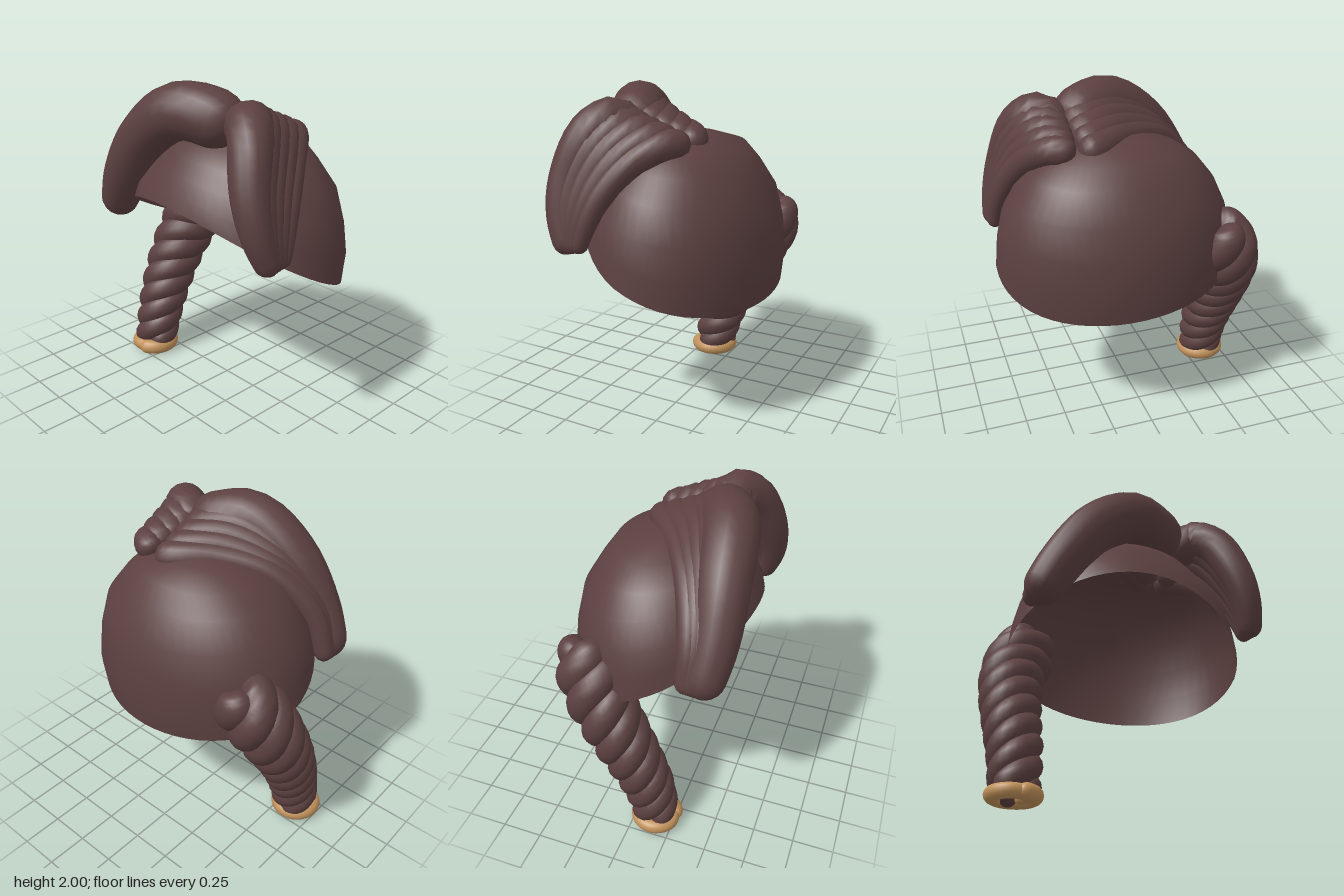
import * as THREE from 'three';

const hair = new THREE.MeshStandardMaterial({ color: 0x5c4040, side: THREE.DoubleSide });
hair.name = 'brown hair';
const gold = new THREE.MeshStandardMaterial({ color: 0xc0915a });
gold.name = 'gold band';

const V = (x, y, z) => new THREE.Vector3(x, y, z);
const spline = (pts) => new THREE.CatmullRomCurve3(pts.map((p) => (p.isVector3 ? p : V(...p))));
const lerp = THREE.MathUtils.lerp;

// Smooth surface from closed rings; point(i, j) gives corner j of ring i
function rings(rows, cols, point) {
  const pos = [], index = [];
  for (let i = 0; i <= rows; i++) {
    for (let j = 0; j < cols; j++) {
      pos.push(...point(i, j).toArray());
      if (i === rows) continue;
      const a = i * cols + j, b = i * cols + ((j + 1) % cols);
      index.push(a, b, a + cols, b, b + cols, a + cols);
    }
  }
  const geo = new THREE.BufferGeometry();
  geo.setAttribute('position', new THREE.Float32BufferAttribute(pos, 3));
  geo.setIndex(index);
  geo.computeVertexNormals();
  return geo;
}

// Round strand along a curve with domed ends
function strand(curve, radius, ref, rows = 28, cols = 16) {
  const length = curve.getLength();
  const frames = [];
  for (let i = 0; i <= rows; i++) {
    const u = lerp(i / rows, (1 - Math.cos((Math.PI * i) / rows)) / 2, 0.9);
    const t = curve.getTangentAt(u);
    const n = V(0, 0, 0).crossVectors(t, ref).normalize();
    const b = V(0, 0, 0).crossVectors(t, n);
    const r = radius(u);
    const end = Math.min(1, (Math.min(u, 1 - u) * length) / r);
    frames.push({ c: curve.getPointAt(u), n, b, r: r * Math.sqrt(1 - (1 - end) ** 2) });
  }
  return rings(rows, cols, (i, j) => {
    const { c, n, b, r } = frames[i];
    const a = (j / cols) * Math.PI * 2;
    return c.clone().addScaledVector(n, r * Math.cos(a)).addScaledVector(b, r * Math.sin(a));
  });
}

function add(parent, name, geo, mat) {
  const mesh = new THREE.Mesh(geo, mat);
  mesh.name = name;
  parent.add(mesh);
}

// Open dome with a rim that rises toward the forehead and slightly to the right
function capGeometry() {
  const profile = [[0.96, 0.78], [1, 0.97], [0.97, 1.17], [0.9, 1.37], [0.735, 1.53],
    [0.59, 1.65], [0.3, 1.71], [0.12, 1.735], [0, 1.74]];
  const low = 0.78, top = 1.74;
  const widthAt = (y) => {
    const k = Math.max(1, profile.findIndex((p) => p[1] >= y - 1e-6));
    const [r0, y0] = profile[k - 1], [r1, y1] = profile[k];
    return lerp(r0, r1, (y - y0) / (y1 - y0));
  };
  const cols = 56;
  return rings(profile.length - 1, cols, (i, j) => {
    const a = (j / cols) * Math.PI * 2;
    const depth = Math.cos(a) > 0 ? 0.59 : 0.577;
    const zRim = 0.96 * depth * Math.cos(a);
    const rim = 0.97 + 0.48 * zRim + 0.26 * zRim * zRim - 0.04 * Math.sin(a);
    const y = Math.min(top, lerp(rim, top, (profile[i][1] - low) / (top - low)));
    const r = i === profile.length - 1 ? 0 : widthAt(Math.max(low, y));
    return V(0.075 + 0.745 * r * Math.sin(a), y, depth * r * Math.cos(a));
  });
}

// Swept fringe: strands blended from a front path to a back path
function fringe(name, front, back, rFront, rBack, taper) {
  const group = new THREE.Group();
  group.name = name;
  const count = 5;
  for (let k = 0; k < count; k++) {
    const f = k / (count - 1);
    const path = front.map((p, i) => V(...p).lerp(V(...back[i]), f));
    const r = lerp(rFront, rBack, Math.sqrt(f));
    add(group, 'fringeStrand' + (k + 1), strand(spline(path), (u) => r * (1 - taper * u * u), V(0, 0, 1)), hair);
  }
  return group;
}

// Three strands twisted around a falling centre line
function braid() {
  const group = new THREE.Group();
  group.name = 'twistedBraid';
  const core = spline([[-0.47, 1.23, -0.34], [-0.51, 1.1, -0.3], [-0.59, 0.9, -0.21], [-0.615, 0.7, -0.1],
    [-0.615, 0.5, 0], [-0.605, 0.3, 0.08], [-0.605, 0.05, 0.14]]);
  for (let k = 0; k < 3; k++) {
    const pts = [];
    for (let i = 0; i <= 60; i++) {
      const u = i / 60;
      const t = core.getTangentAt(u);
      const n = V(0, 0, 0).crossVectors(t, V(1, 0, 0)).normalize();
      const b = V(0, 0, 0).crossVectors(t, n);
      const a = Math.PI * 2 * (k / 3 + 2.3 * u + 0.6 * u * u);
      const off = lerp(0.122, 0.07, u) * Math.min(1, 0.4 + u * 4);
      pts.push(core.getPointAt(u).addScaledVector(n, off * Math.cos(a)).addScaledVector(b, off * Math.sin(a)));
    }
    add(group, 'braidStrand' + (k + 1), strand(spline(pts), (u) => lerp(0.11, 0.075, u), V(0, 1, 0), 110, 14), hair);
  }
  return group;
}

// Coiled band whose end tucks inside the loop
function hairTie() {
  const pts = [];
  for (let i = 0; i <= 40; i++) {
    const a = (i / 40) * Math.PI * 2.9;
    const r = 0.115 - 0.07 * Math.max(0, (i / 40 - 0.64) / 0.36);
    pts.push(V(-0.61 + r * Math.sin(a), 0.05, 0.14 + r * Math.cos(a)));
  }
  return strand(spline(pts), (u) => lerp(0.049, 0.038, u * u), V(0, 1, 0), 70, 14);
}

export function createModel() {
  const model = new THREE.Group();
  model.name = 'hairstyle';
  add(model, 'hairCap', capGeometry(), hair);
  model.add(fringe('rightFringe',
    [[0.33, 1.73, 0.2], [0.18, 1.81, 0.28], [0, 1.83, 0.36], [-0.25, 1.67, 0.405], [-0.46, 1.38, 0.425], [-0.61, 1.1, 0.39]],
    [[0.32, 1.68, -0.14], [0.2, 1.7, -0.1], [0, 1.7, 0.05], [-0.28, 1.62, 0.21], [-0.51, 1.4, 0.3], [-0.62, 1.12, 0.31]],
    0.17, 0.09, 0.35));
  model.add(fringe('leftFringe',
    [[0.34, 1.68, 0.2], [0.45, 1.82, 0.26], [0.56, 1.75, 0.36], [0.66, 1.5, 0.455], [0.72, 1.3, 0.46], [0.765, 1.09, 0.4]],
    [[0.35, 1.66, -0.13], [0.44, 1.7, -0.09], [0.57, 1.62, 0.06], [0.68, 1.45, 0.2], [0.74, 1.28, 0.28], [0.77, 1.11, 0.33]],
    0.13, 0.09, 0.5));
  model.add(braid());
  add(model, 'hairTie', hairTie(), gold);
  return model;
}
